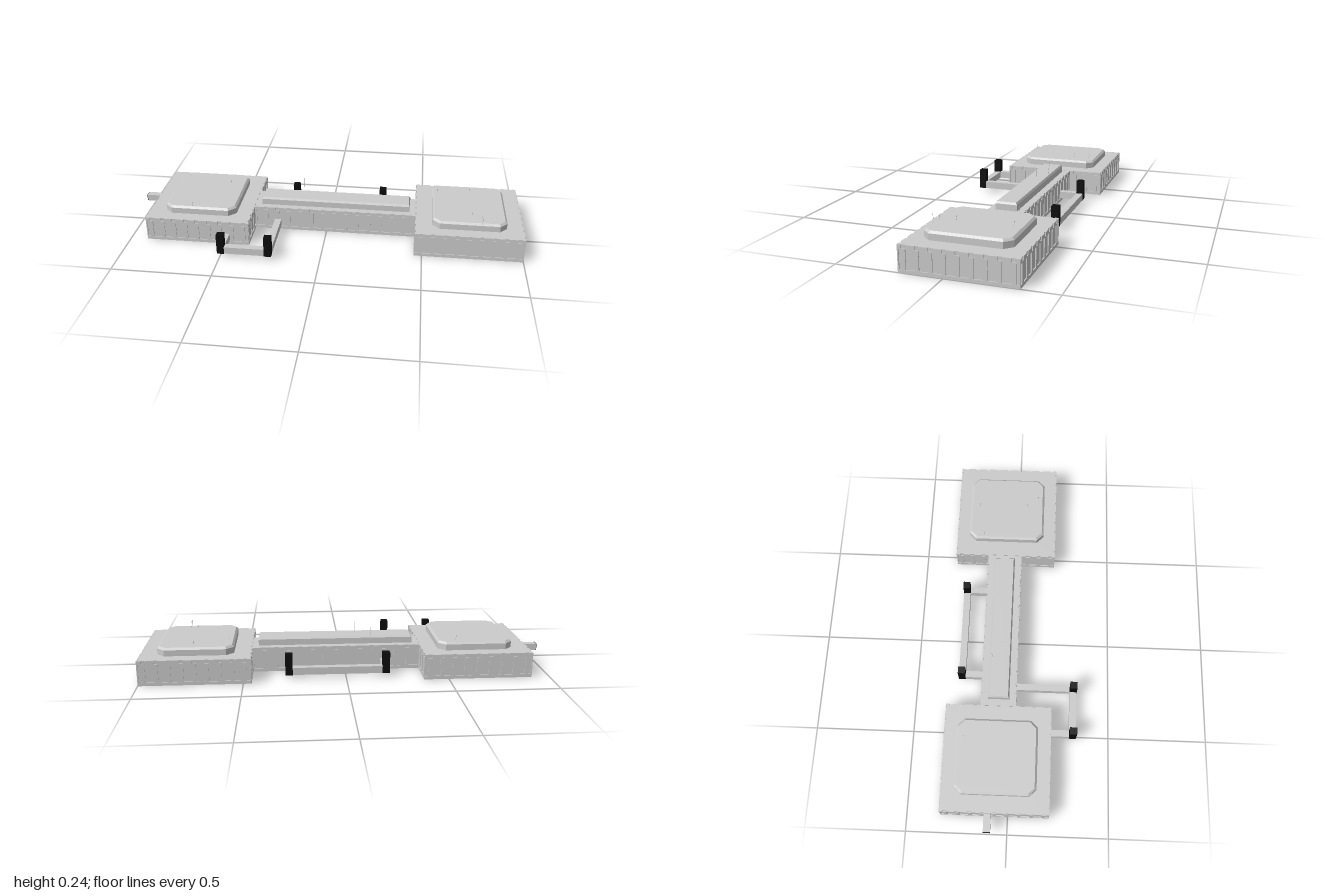
import * as THREE from 'three';

const GREY = new THREE.MeshStandardMaterial({ color: 0xcccccc, flatShading: true });
const BLACK = new THREE.MeshStandardMaterial({ color: 0x0c0c0c, flatShading: true });
const HEIGHT = 0.125, DEPTH = 0.005, PITCH = 0.06, RIB = 0.018;

function add(parent, name, geometry, material = GREY) {
  const mesh = new THREE.Mesh(geometry, material);
  mesh.name = name;
  parent.add(mesh);
  return mesh;
}

// Box given by its limits on each axis
function box(parent, name, [x0, x1], [y0, y1], [z0, z1], material) {
  const mesh = add(parent, name, new THREE.BoxGeometry(x1 - x0, y1 - y0, z1 - z0), material);
  mesh.position.set((x0 + x1) / 2, (y0 + y1) / 2, (z0 + z1) / 2);
  return mesh;
}

// Wall skin with sunken panels, and a notch in the top edge above each rib
function wallGeometry(length) {
  const h = length / 2, count = Math.floor((h - 0.015) / PITCH);
  const outline = new THREE.Shape();
  outline.moveTo(-h, 0);
  outline.lineTo(h, 0);
  outline.lineTo(h, HEIGHT);
  for (let i = count; i >= -count; i--) {
    const c = i * PITCH;
    outline.lineTo(c + RIB / 2, HEIGHT);
    outline.lineTo(c + RIB / 2, 0.108);
    outline.lineTo(c - RIB / 2, 0.108);
    outline.lineTo(c - RIB / 2, HEIGHT);
  }
  outline.lineTo(-h, HEIGHT);
  outline.closePath();
  for (let i = -count - 1; i <= count; i++) {
    const a = Math.max(i * PITCH + RIB / 2, -h + 0.006);
    const b = Math.min((i + 1) * PITCH - RIB / 2, h - 0.006);
    if (b - a < 0.005) continue;
    const hole = new THREE.Path();
    hole.moveTo(a, 0.016);
    hole.lineTo(a, 0.104);
    hole.lineTo(b, 0.104);
    hole.lineTo(b, 0.016);
    hole.closePath();
    outline.holes.push(hole);
  }
  return new THREE.ExtrudeGeometry(outline, { depth: DEPTH, bevelEnabled: false });
}

// Panelled block: a core with a skin on the chosen sides
function block(parent, name, [x0, x1], [z0, z1], withEnds) {
  const group = new THREE.Group();
  group.name = name;
  parent.add(group);
  const e = withEnds ? DEPTH : 0;
  box(group, 'core', [x0 + e, x1 - e], [0, HEIGHT], [z0 + DEPTH, z1 - DEPTH]);
  const w = x1 - x0, d = z1 - z0;
  for (let i = 0; i < 4; i++) {
    const isEnd = i % 2 === 1;
    if (isEnd && !withEnds) continue;
    const wall = add(group, 'panelledWall', wallGeometry(isEnd ? d : w));
    const angle = i * Math.PI / 2, out = (isEnd ? w : d) / 2 - DEPTH;
    wall.rotation.y = angle;
    wall.position.set((x0 + x1) / 2 + Math.sin(angle) * out, 0, (z0 + z1) / 2 + Math.cos(angle) * out);
  }
}

// Raised roof pad with cut corners and a bevelled top edge
function pad(parent, name, [x0, x1], [z0, z1], cut, bevel) {
  const a = (x1 - x0) / 2, b = (z1 - z0) / 2;
  const points = [];
  for (const [sx, sy] of [[1, 1], [-1, 1], [-1, -1], [1, -1]]) {
    const corner = [[sx * a, sy * (b - cut)], [sx * (a - cut), sy * b]];
    if (sx * sy < 0) corner.reverse();
    for (const p of cut ? corner : [[sx * a, sy * b]]) points.push(new THREE.Vector2(...p));
  }
  const geometry = new THREE.ExtrudeGeometry(new THREE.Shape(points), {
    depth: 0.035, bevelThickness: 0.01, bevelSize: bevel, bevelOffset: -bevel, bevelSegments: 1,
  });
  geometry.rotateX(-Math.PI / 2);
  add(parent, name, geometry).position.set((x0 + x1) / 2, 0.12, (z0 + z1) / 2);
}

export function createModel() {
  const model = new THREE.Group();
  model.name = 'station';

  // Two end blocks joined by a narrow corridor
  block(model, 'rightBlock', [-0.912, -0.378], [-0.332, 0.203], true);
  block(model, 'leftBlock', [0.46, 1], [-0.332, 0.203], true);
  block(model, 'corridor', [-0.378, 0.46], [-0.158, 0.022], false);

  // Roof pads
  pad(model, 'rightRoofPad', [-0.828, -0.458], [-0.265, 0.137], 0.036, 0.01);
  pad(model, 'leftRoofPad', [0.545, 0.915], [-0.265, 0.137], 0.036, 0.01);
  pad(model, 'corridorRoofPad', [-0.345, 0.43], [-0.12, -0.013], 0, 0.006);

  // Front and rear rail frames
  const railY = [0.021, 0.057];
  box(model, 'frontRail', [-0.477, -0.274], railY, [0.296, 0.33]);
  box(model, 'frontRailArm', [-0.511, -0.477], railY, [0.2, 0.3]);
  box(model, 'frontRailArm', [-0.274, -0.24], railY, [0.018, 0.3]);
  box(model, 'rearRail', [-0.18, 0.263], railY, [-0.282, -0.247]);
  for (const x of [-0.197, 0.28]) {
    box(model, 'rearRailArm', [x - 0.017, x + 0.017], railY, [-0.25, -0.155]);
  }

  // Black posts on the rail corners
  for (const [x, z] of [[-0.494, 0.315], [-0.257, 0.315], [-0.197, -0.265], [0.28, -0.265]]) {
    box(model, 'post', [x - 0.018, x + 0.018], [0.02, 0.125], [z - 0.018, z + 0.018], BLACK);
  }

  // Side arm with its dark tip
  box(model, 'sideArm', [-0.998, -0.91], [0.068, 0.102], [-0.115, -0.08]);
  box(model, 'sideArmTip', [-1, -0.998], [0.068, 0.102], [-0.115, -0.08], BLACK);

  // Hair-thin aerials: x, z, top height, lean in z
  const aerials = [
    [-0.135, -0.101, 0.24, -0.01], [-0.057, -0.06, 0.225, 0.002],
    [-0.55, -0.222, 0.192, -0.006], [-0.68, 0.125, 0.192, 0.007],
    [0.57, -0.184, 0.197, 0.004], [0.74, -0.213, 0.198, -0.004],
    [0.745, 0.049, 0.19, -0.005], [0.79, 0.104, 0.198, 0], [0.79, 0.134, 0.198, 0.003],
    [-0.54, -0.143, 0.19, 0.006],
  ];
  for (const [x, z, top, lean] of aerials) {
    const path = new THREE.LineCurve3(new THREE.Vector3(x, 0.163, z), new THREE.Vector3(x, top, z + lean));
    add(model, 'aerial', new THREE.TubeGeometry(path, 1, 0.0008, 4));
  }
  return model;
}
